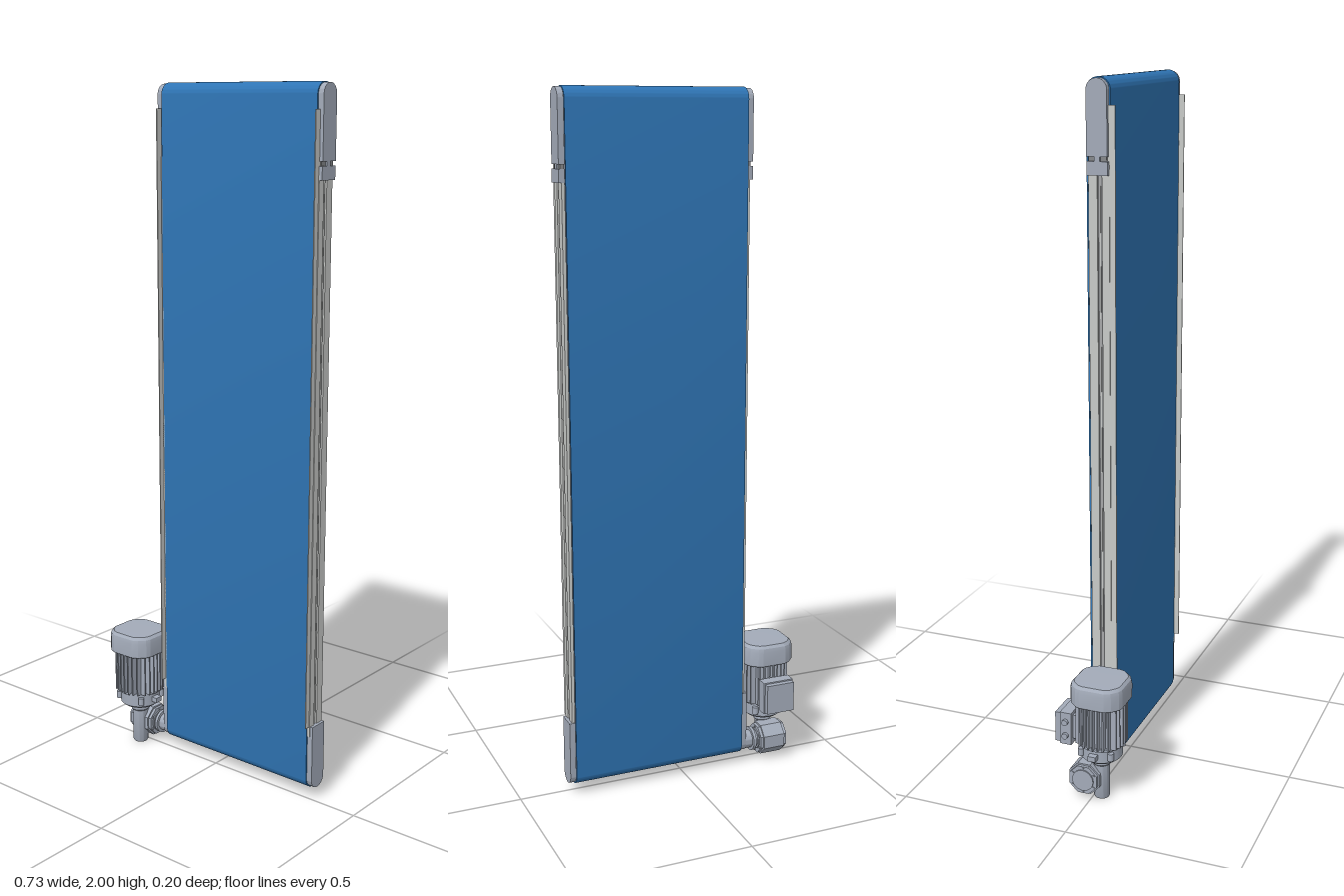
import * as THREE from 'three';
import { toCreasedNormals } from 'three/addons/utils/BufferGeometryUtils.js';

const mat = (name, color) => {
  const m = new THREE.MeshStandardMaterial({ color });
  m.name = name;
  return m;
};

export function createModel() {
  const belt = mat('belt blue', 0x2f75b5);
  const metal = mat('metal grey', 0xa3abb9);
  const rail = mat('rail light grey', 0xc8cac8);
  const groove = mat('groove grey', 0x85878a);
  const model = new THREE.Group();
  model.name = 'verticalBeltConveyor';

  const add = (parent, name, geo, material, x = 0, y = 0, z = 0) => {
    const m = new THREE.Mesh(geo, material);
    m.name = name;
    m.position.set(x, y, z);
    parent.add(m);
    return m;
  };
  // box given by its limits
  const box = (parent, name, material, x0, x1, y0, y1, z0, z1) =>
    add(parent, name, new THREE.BoxGeometry(x1 - x0, y1 - y0, z1 - z0), material,
      (x0 + x1) / 2, (y0 + y1) / 2, (z0 + z1) / 2);
  // cylinder lying along x
  const rod = (parent, name, material, x0, x1, y, z, r, sides = 32) => {
    const g = new THREE.CylinderGeometry(r, r, x1 - x0, sides);
    if (sides === 8) g.rotateY(Math.PI / 8);
    g.rotateZ(Math.PI / 2);
    return add(parent, name, toCreasedNormals(g, 0.6), material, (x0 + x1) / 2, y, z);
  };
  // outline in the y-z plane (shape x = -z, shape y = y) extruded from x0 to x1
  const extrudeX = (shape, x0, x1) => {
    const g = new THREE.ExtrudeGeometry(shape, { depth: x1 - x0, bevelEnabled: false, curveSegments: 16 });
    g.rotateY(Math.PI / 2).translate(x0, 0, 0);
    return toCreasedNormals(g, 0.6);
  };
  // vertical slot outline with round ends
  const slot = (cls, r, y0, y1) => {
    const s = new cls();
    s.absarc(0, y1 - r, r, 0, Math.PI, false);
    s.absarc(0, y0 + r, r, Math.PI, 2 * Math.PI, false);
    s.closePath();
    return s;
  };
  // slot with one square end
  const capShape = (r, y0, y1, roundTop) => {
    const s = new THREE.Shape();
    if (roundTop) {
      s.moveTo(-r, y0); s.lineTo(r, y0);
      s.absarc(0, y1 - r, r, 0, Math.PI, false);
    } else {
      s.moveTo(r, y1); s.lineTo(-r, y1);
      s.absarc(0, y0 + r, r, Math.PI, 2 * Math.PI, false);
    }
    s.closePath();
    return s;
  };

  const X0 = -0.183, X1 = 0.345, ZC = -0.019, R = 0.034;

  // endless belt around its bed
  const loop = slot(THREE.Shape, R, 0.033, 2);
  loop.holes.push(slot(THREE.Path, R - 0.004, 0.037, 1.996));
  add(model, 'belt', extrudeX(loop, X0, X1), belt, 0, 0, ZC);
  box(model, 'beltBed', metal, X0 + 0.004, X1 - 0.004, 0.08, 1.95, ZC - 0.029, ZC + 0.029);
  for (const y of [0.067, 1.966]) rod(model, 'beltRoller', metal, X0 + 0.002, X1 - 0.002, y, ZC, 0.0295);

  // side frames, each built outward from the belt edge
  for (const [side, edge, name] of [[1, X1, 'leftFrame'], [-1, X0, 'rightFrame']]) {
    const frame = new THREE.Group();
    frame.name = name;
    model.add(frame);
    const span = (a, b) => side > 0 ? [edge + a, edge + b] : [edge - b, edge - a];
    const slab = (n, m, a, b, ...rest) => box(frame, n, m, ...span(a, b), ...rest);
    slab('railCore', groove, 0, 0.004, 0.2, 1.8, -0.043, 0.014);
    slab('railBackLip', rail, 0, 0.009, 0.2, 1.78, -0.045, -0.02);
    slab('railFrontLip', rail, 0, 0.009, 0.2, 1.78, -0.007, 0.014);
    slab('railGrooveRib', rail, 0, 0.006, 0.2, 1.78, -0.015, -0.012);
    slab('sideGuide', rail, 0.004, 0.007, 0.23, 1.93, 0.008, 0.03);
    add(frame, 'topEndCap', extrudeX(capShape(0.029, 1.80, 1.997, true), ...span(0, 0.017)), metal, 0, 0, ZC + 0.001);
    add(frame, 'bottomEndCap', extrudeX(capShape(0.029, 0.036, 0.23, false), ...span(0, 0.017)), metal, 0, 0, ZC + 0.001);
    slab('tensionerGap', groove, 0, 0.011, 1.785, 1.803, -0.043, 0.008);
    slab('tensionerScrew', metal, 0.008, 0.015, 1.785, 1.803, -0.026, -0.01);
    slab('tensionerBlock', metal, 0, 0.017, 1.752, 1.788, -0.046, 0.013);
  }

  // gear motor, upright beside the lower end of the belt
  const motor = new THREE.Group();
  motor.name = 'gearMotor';
  motor.position.set(-0.287, 0, 0.022);
  model.add(motor);
  const turned = (name, pts, sides = 32) =>
    add(motor, name, toCreasedNormals(new THREE.LatheGeometry(pts.map(p => new THREE.Vector2(...p)), sides), 0.5), metal);

  // fan cover: faceted outline lofted with a chamfered top
  const quarter = [[0.078, 0.036], [0.073, 0.05], [0.056, 0.069], [0.038, 0.078]];
  const outline = [];
  for (let k = 0; k < 4; k++) for (const [a, b] of quarter) {
    const c = Math.round(Math.cos(k * Math.PI / 2)), s = Math.round(Math.sin(k * Math.PI / 2));
    outline.push([a * c - b * s, a * s + b * c]);
  }
  const rings = [[0, 0.306], [0.97, 0.306], [1, 0.31], [1, 0.352], [0.97, 0.363], [0.88, 0.371], [0, 0.372]];
  const pos = [], idx = [], n = outline.length;
  for (const [k, y] of rings) for (const [a, b] of outline) pos.push(a * k, y, b * k);
  for (let i = 0; i < rings.length - 1; i++) for (let j = 0; j < n; j++) {
    const a = i * n + j, b = i * n + (j + 1) % n;
    idx.push(a, a + n, b, b, a + n, b + n);
  }
  const cover = new THREE.BufferGeometry();
  cover.setAttribute('position', new THREE.Float32BufferAttribute(pos, 3));
  cover.setIndex(idx);
  add(motor, 'fanCover', toCreasedNormals(cover, 0.3), metal);

  // finned housing
  turned('motorHousing', [[0, 0.17], [0.057, 0.17], [0.057, 0.31], [0, 0.31]]);
  for (let k = 0; k < 4; k++) {
    const bank = new THREE.Group();
    bank.name = 'coolingFins';
    bank.rotation.y = k * Math.PI / 2;
    motor.add(bank);
    for (let i = -3; i <= 3; i++) {
      const tip = 0.072 - 0.0012 * i * i;
      box(bank, 'fin', metal, 0.03, tip, 0.178, 0.308, i * 0.0145 - 0.002, i * 0.0145 + 0.002);
    }
  }

  // motor end shield, bolt lugs and neck
  turned('endShield', [[0, 0.128], [0.05, 0.128], [0.06, 0.136], [0.06, 0.172], [0.064, 0.172], [0.064, 0.18], [0, 0.18]]);
  for (let k = 0; k < 4; k++) {
    const a = Math.PI / 4 + k * Math.PI / 2;
    add(motor, 'boltLug', new THREE.CylinderGeometry(0.009, 0.009, 0.022, 12), metal,
      Math.cos(a) * 0.064, 0.156, Math.sin(a) * 0.064);
  }
  for (const s of [-1, 1]) box(motor, 'sideLug', metal, s * 0.067 - 0.011, s * 0.067 + 0.011, 0.148, 0.163, -0.012, 0.012);
  turned('wormHousing', [[0, 0], [0.021, 0], [0.023, 0.004], [0.023, 0.105], [0.028, 0.11], [0.028, 0.132], [0, 0.132]]);

  // terminal box on the back of the housing
  box(motor, 'terminalNeck', metal, -0.034, 0.034, 0.185, 0.258, -0.085, -0.04);
  box(motor, 'terminalBox', metal, -0.048, 0.048, 0.17, 0.268, -0.108, -0.074);
  box(motor, 'terminalLid', metal, -0.044, 0.044, 0.174, 0.264, -0.124, -0.108);
  for (const y of [0.198, 0.24]) rod(motor, 'cableGland', metal, -0.057, -0.046, y, -0.091, 0.009, 16);

  // worm gearbox and output shaft
  const gear = new THREE.Group();
  gear.name = 'gearbox';
  model.add(gear);
  const gx = -0.287, gy = 0.063;
  rod(gear, 'gearHousing', metal, gx - 0.034, gx + 0.034, gy, ZC, 0.05, 8);
  for (const s of [-1, 1]) {
    const c = gx + s * 0.036;
    rod(gear, 'housingFlange', metal, c - 0.007, c + 0.007, gy, ZC, 0.045, 8);
    rod(gear, 'bearingCover', metal, c - 0.011, c + 0.011, gy, ZC, 0.032);
    for (let k = 0; k < 6; k++) {
      const a = k * Math.PI / 3;
      rod(gear, 'flangeBolt', metal, c - 0.01, c + 0.01, gy + Math.cos(a) * 0.037, ZC + Math.sin(a) * 0.037, 0.0035, 6);
    }
  }
  box(gear, 'housingBridge', metal, gx - 0.02, gx + 0.02, 0.02, 0.105, ZC, 0.022);
  rod(gear, 'outputSleeve', metal, gx + 0.036, X0 - 0.012, 0.065, ZC, 0.027);
  rod(gear, 'outputFlange', metal, gx + 0.055, gx + 0.064, 0.065, ZC, 0.036);

  return model;
}
